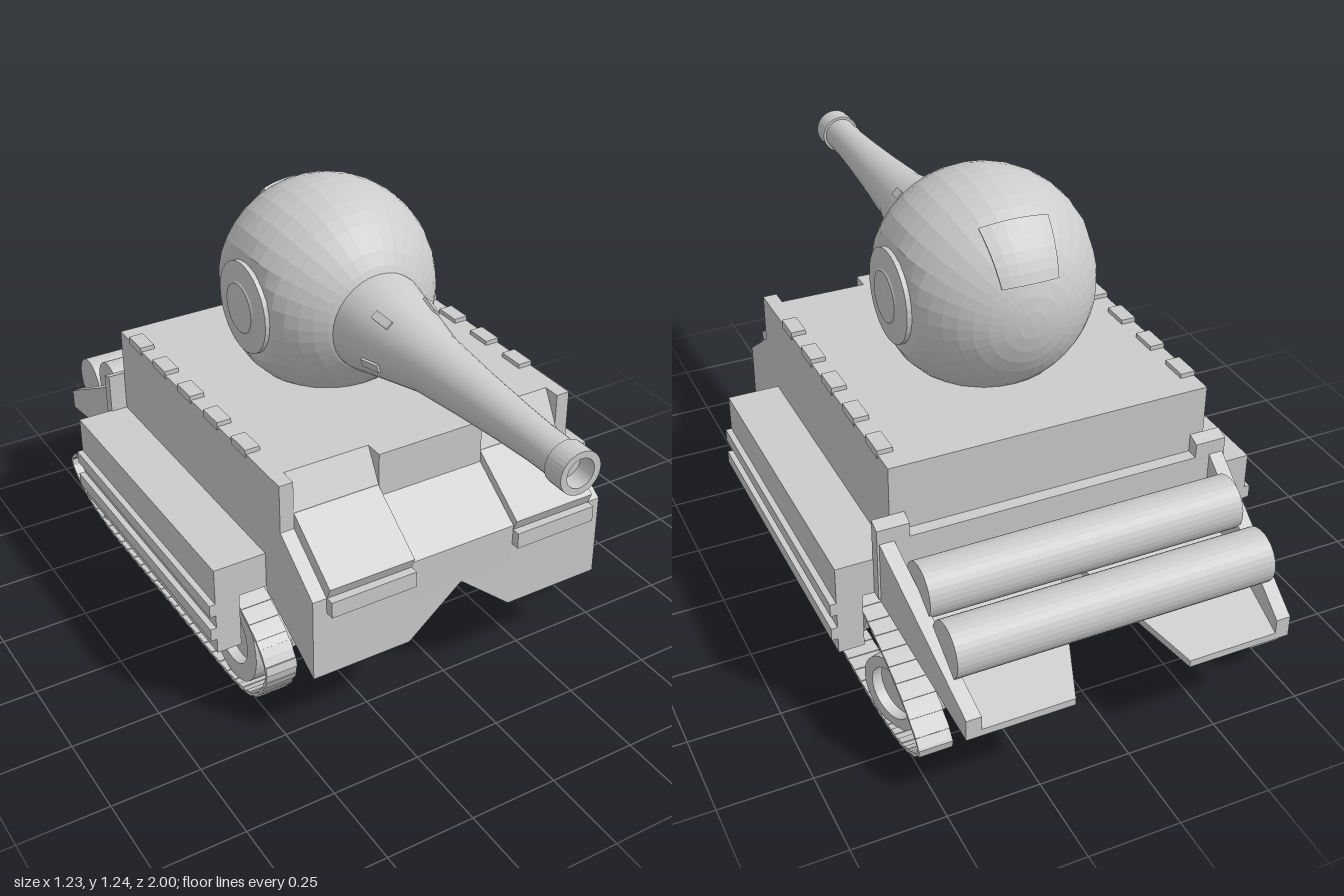
import * as THREE from 'three';

const mat = new THREE.MeshStandardMaterial({ color: 0xcccccc, flatShading: true, side: THREE.DoubleSide });
const smooth = new THREE.MeshStandardMaterial({ color: 0xcccccc, side: THREE.DoubleSide });
const V2 = (p) => new THREE.Vector2(p[0], p[1]);

export function createModel() {
  const root = new THREE.Group();
  const add = (name, geo, parent = root, m = mat) => {
    const mesh = new THREE.Mesh(geo, m);
    mesh.name = name;
    parent.add(mesh);
    return mesh;
  };
  // Box given by its min and max on each axis
  const box = (name, x0, x1, y0, y1, z0, z1, parent) => {
    const b = add(name, new THREE.BoxGeometry(x1 - x0, y1 - y0, z1 - z0), parent);
    b.position.set((x0 + x1) / 2, (y0 + y1) / 2, (z0 + z1) / 2);
    return b;
  };
  const extrude = (pts, depth) =>
    new THREE.ExtrudeGeometry(new THREE.Shape(pts.map(V2)), { depth, bevelEnabled: false });
  // Side profile of (z, y) points, swept from x0 to x1
  const profile = (name, pts, x0, x1) =>
    add(name, extrude(pts, x1 - x0).rotateY(-Math.PI / 2).translate(x1, 0, 0));
  const reshape = (geo, rule) => {
    const p = geo.attributes.position, v = new THREE.Vector3();
    for (let i = 0; i < p.count; i++) {
      rule(v.fromBufferAttribute(p, i));
      p.setXYZ(i, v.x, v.y, v.z);
    }
    geo.computeVertexNormals();
    return geo;
  };

  // Hull
  box('lowerHull', -0.4, 0.4, 0.115, 0.4, -0.545, 0.32);
  profile('upperHull', [[-0.545, 0.35], [-0.545, 0.71], [0.355, 0.71], [0.405, 0.62], [0.405, 0.35]], -0.41, 0.41);
  box('hullFrontBlock', -0.16, 0.16, 0.55, 0.71, 0.32, 0.408);
  box('rearBulkhead', -0.45, 0.45, 0.35, 0.52, -0.58, -0.54);
  for (const s of [-1, 1]) {
    const span = (a, b) => (s > 0 ? [a, b] : [-b, -a]);
    box('hullSide', ...span(0.41, 0.45), 0.35, 0.71, -0.545, 0.405);
    for (let i = 0; i < 5; i++) {
      const z = -0.44 + i * 0.158;
      box('deckBlock', ...span(0.41, 0.452), 0.70, 0.723, z - 0.04, z + 0.04);
    }
    // Raised glacis slabs with lips
    profile('glacisSlab', [[0.4, 0.56], [0.4, 0.62], [0.582, 0.49], [0.565, 0.45]], ...span(0.16, 0.41));
    box('glacisLip', ...span(0.16, 0.41), 0.41, 0.457, 0.56, 0.592);
    // Side skirt: top shelf, hanging panel, two ridges
    box('skirtTop', ...span(0.4, 0.6), 0.35, 0.455, -0.55, 0.32);
    box('skirtPanel', ...span(0.53, 0.6), 0.19, 0.36, -0.55, 0.32);
    for (const y of [0.235, 0.312]) box('skirtRidge', ...span(0.59, 0.617), y, y + 0.037, -0.55, 0.32);
    profile('rearShoulder', [[-0.545, 0.35], [-0.545, 0.572], [-0.58, 0.56], [-0.58, 0.35]], ...span(0.41, 0.498));
    // Rear side plate, toed in towards the tail
    const plate = profile('rearSidePlate',
      [[-0.56, 0.345], [-0.56, 0.53], [-1, 0.285], [-1, 0.225]], ...span(0.41, 0.45));
    reshape(plate.geometry, (v) => { v.x += s * (v.z + 1) * 0.1; });
  }

  // Nose: glacis over a notched lower plate whose underside slopes back
  profile('noseUpper', [[0.32, 0.35], [0.32, 0.57], [0.405, 0.585], [0.568, 0.47], [0.565, 0.35]], -0.16, 0.16);
  for (const x of [-0.45, 0.16])
    profile('noseSide', [[0.32, 0.35], [0.32, 0.57], [0.405, 0.57], [0.565, 0.455], [0.565, 0.35]], x, x + 0.29);
  const nose = extrude([[-0.45, 0.36], [-0.45, 0.212], [-0.16, 0.212], [0, 0.348], [0.16, 0.212], [0.45, 0.212], [0.45, 0.36]], 0.245);
  nose.translate(0, 0, 0.32);
  add('noseLower', reshape(nose, (v) => { if (v.z < 0.4) v.y = Math.max(v.y, 0.34); }));

  // Tail floor: sloped sheet with a V notch, laid out as (x, -z)
  const tail = extrude([[-0.48, 0.55], [0.48, 0.55], [0.44, 1], [0.16, 1], [0, 0.59], [-0.16, 1], [-0.44, 1]], 0.02);
  tail.rotateX(-Math.PI / 2);
  add('tailFloor', reshape(tail, (v) => { v.y += 0.225 + (v.z + 1) * 0.28; }));

  // Drums across the tail
  for (const [z, y, r] of [[-0.7, 0.45, 0.073], [-0.858, 0.387, 0.073]]) {
    const drum = add('tailDrum', new THREE.CylinderGeometry(r, r, 0.88, 32).rotateZ(Math.PI / 2), root, mat);
    drum.position.set(0, y, z);
  }

  // Wheels and tracks
  const trackPath = new THREE.CatmullRomCurve3(
    [[0.24, 0.008], [-0.2, 0.007], [-0.64, 0.01], [-0.8, 0.045], [-0.875, 0.105], [-0.81, 0.165], [-0.7, 0.22],
      [-0.55, 0.265], [-0.2, 0.335], [0.15, 0.342], [0.32, 0.28], [0.41, 0.215], [0.438, 0.16], [0.39, 0.065], [0.33, 0.025]]
      .map(([z, y]) => new THREE.Vector3(0, y, z)), true);
  const links = 120, linkLength = trackPath.getLength() / links;
  for (const s of [-1, 1]) {
    const side = new THREE.Group();
    side.name = s > 0 ? 'leftTrack' : 'rightTrack';
    root.add(side);
    for (let i = 0; i < links; i++) {
      const p = trackPath.getPointAt(i / links), t = trackPath.getTangentAt(i / links);
      const link = add('trackLink', new THREE.BoxGeometry(0.09, i % 2 ? 0.007 : 0.012, linkLength * 1.02), side);
      link.position.set(s * 0.476, p.y, p.z);
      link.rotation.x = Math.atan2(-t.y, t.z);
    }
    for (const [z, y, r, hub] of [[0.225, 0.16, 0.143, 0.092], [-0.25, 0.16, 0.143, 0.108], [-0.655, 0.118, 0.104, 0.073]]) {
      const rim = [[0, -0.055], [r, -0.055], [r, 0.055], [hub, 0.055], [hub, 0.025], [0, 0.025]];
      const wheel = add('wheel', new THREE.LatheGeometry(rim.map(V2), 32).rotateZ(-s * Math.PI / 2), side);
      wheel.position.set(s * 0.457, y, z);
      if (s > 0) wheel.rotation.y = 0.3; // left wheels are toed out
    }
  }

  // Turret ball with flattened cheeks
  const turret = new THREE.Group();
  turret.name = 'turret';
  turret.position.set(0, 0.937, -0.123);
  root.add(turret);
  const ball = new THREE.SphereGeometry(0.302, 36, 24).rotateX(Math.PI / 2);
  add('turretBall', reshape(ball, (v) => { v.x = THREE.MathUtils.clamp(v.x, -0.256, 0.256); }), turret);
  for (const s of [-1, 1]) {
    const cap = [[0, 0.028], [0.07, 0.026], [0.075, 0.022], [0.13, 0.015], [0.13, -0.01]];
    const disc = add('cheekDisc', new THREE.LatheGeometry(cap.map(V2), 32).rotateZ(-s * Math.PI / 2), turret);
    disc.position.set(s * 0.254, -0.007, 0.008);
  }
  // Hatch: a box wrapped over the ball
  const hatch = reshape(new THREE.BoxGeometry(0.2, 0.02, 0.56, 6, 1, 6), (v) => {
    const a = 0.92 - v.z, r = 0.298 + v.y, x = v.x * (0.9 + v.z * 0.35);
    v.set(x, Math.cos(a) * 0.302, -Math.sin(a) * 0.302).setLength(r);
  });
  add('hatch', hatch, turret);

  // Barrel with hollow muzzle
  const barrel = new THREE.Group();
  barrel.name = 'barrel';
  barrel.position.y = 0.93;
  root.add(barrel);
  const tube = [[0.14, 0.1], [0.14, 0.155], [0.118, 0.25], [0.083, 0.41], [0.066, 0.6], [0.056, 0.74], [0.05, 0.85], [0.049, 0.945]];
  add('barrelTube', new THREE.LatheGeometry(tube.map(V2), 32).rotateX(Math.PI / 2), barrel, smooth);
  const muzzle = [[0.048, 0.94], [0.057, 0.94], [0.057, 1], [0.039, 1], [0.039, 0.95], [0, 0.95]];
  add('muzzle', new THREE.LatheGeometry(muzzle.map(V2), 32).rotateX(Math.PI / 2), barrel);
  for (const a of [0.85, 2.29, 3.46, 5.96]) {
    const vent = add('barrelVent', new THREE.BoxGeometry(0.012, 0.024, 0.06), barrel);
    vent.position.set(Math.cos(a) * 0.112, Math.sin(a) * 0.112, 0.28);
    vent.rotation.set(0, -0.22, a, 'ZYX');
  }
  return root;
}
